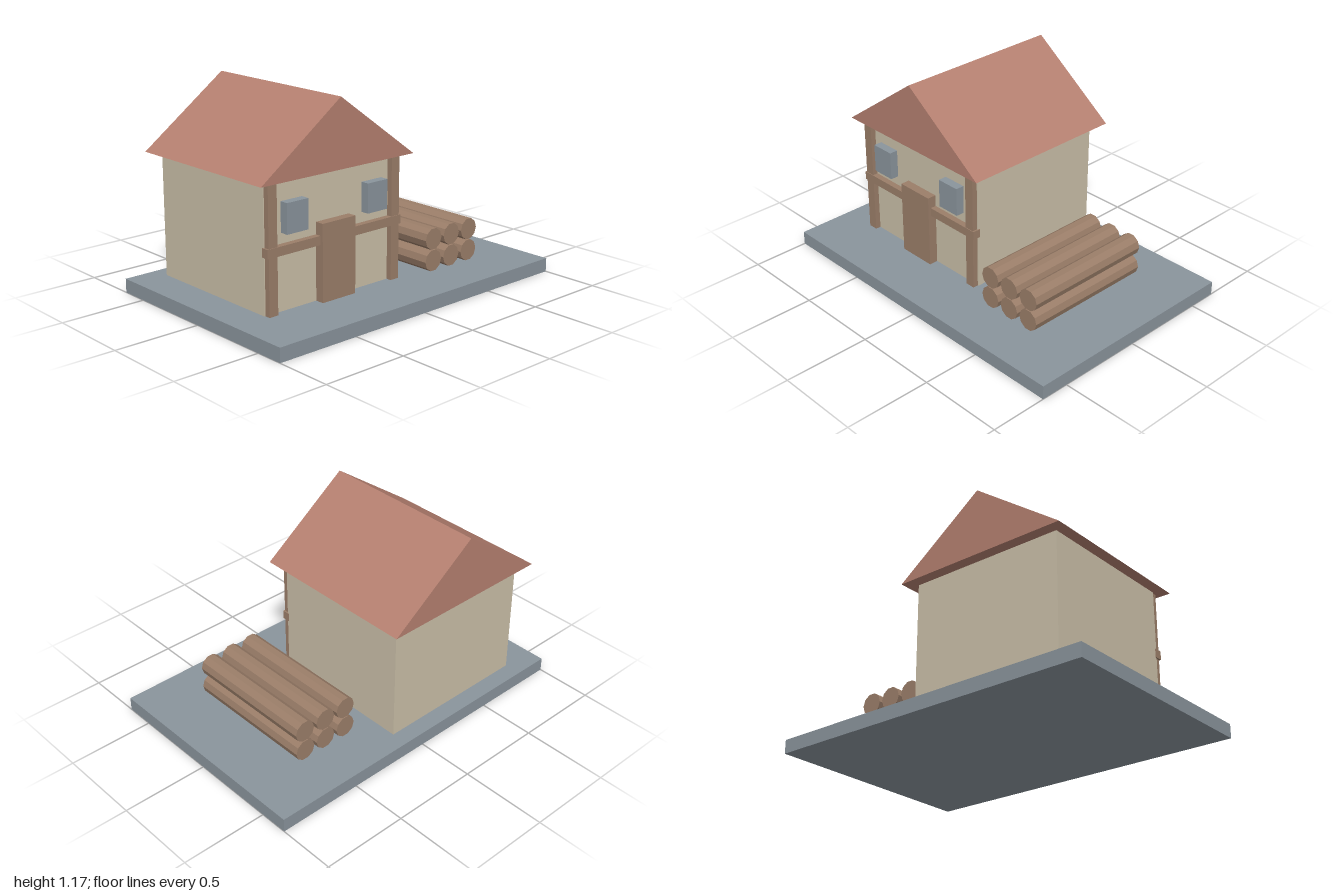
import * as THREE from 'three';

const paint = (name, color) => {
  const m = new THREE.MeshStandardMaterial({ color, flatShading: true });
  m.name = name;
  return m;
};

export function createModel() {
  const stone = paint('blue grey', 0x8a949c);
  const plaster = paint('cream plaster', 0xcabfa8);
  const wood = paint('brown wood', 0x9b7e69);
  const tile = paint('red roof', 0xb58070);

  const model = new THREE.Group();
  model.name = 'houseWithLogs';
  const add = (name, geometry, material, parent = model) => {
    const mesh = new THREE.Mesh(geometry, material);
    mesh.name = name;
    parent.add(mesh);
    return mesh;
  };
  // Box given by its limits on each axis
  const box = (name, material, parent, x0, x1, y0, y1, z0, z1) => {
    const g = new THREE.BoxGeometry(x1 - x0, y1 - y0, z1 - z0);
    g.translate((x0 + x1) / 2, (y0 + y1) / 2, (z0 + z1) / 2);
    return add(name, g, material, parent);
  };

  // Ground slab
  box('base', stone, model, -1, 1, 0, 0.08, -0.667, 0.667);

  // House, centred on its own x axis
  const house = new THREE.Group();
  house.name = 'house';
  house.position.x = -0.333;
  model.add(house);
  box('walls', plaster, house, -0.463, 0.463, 0.08, 0.786, -0.567, 0.3);

  // Solid gable roof
  const gable = new THREE.Shape();
  gable.moveTo(-0.528, 0.785);
  gable.lineTo(0.528, 0.785);
  gable.lineTo(0, 1.167);
  const roof = new THREE.ExtrudeGeometry(gable, { depth: 1, bevelEnabled: false });
  roof.translate(0, 0, -0.633);
  add('roof', roof, tile, house);

  // Timber frame and door on the front
  box('crossBeam', wood, house, -0.467, 0.467, 0.395, 0.445, 0.29, 0.336);
  box('door', wood, house, -0.115, 0.115, 0.08, 0.513, 0.29, 0.353);
  for (const s of [-1, 1]) {
    const side = s < 0 ? 'right' : 'left';
    const span = (a, b) => (s < 0 ? [-b, -a] : [a, b]);
    box(side + 'Post', wood, house, ...span(0.4, 0.457), 0.08, 0.786, 0.29, 0.332);
    box(side + 'Window', stone, house, ...span(0.208, 0.35), 0.503, 0.669, 0.29, 0.35);
  }

  // Stack of ten-sided logs
  const logs = new THREE.Group();
  logs.name = 'logStack';
  model.add(logs);
  const log = new THREE.CylinderGeometry(0.063, 0.063, 0.8, 10);
  log.rotateY(Math.PI / 2).rotateX(Math.PI / 2);
  for (const y of [0.151, 0.277]) {
    for (const x of [0.333, 0.476, 0.619]) add('log', log, wood, logs).position.set(x, y, 0);
  }

  return model;
}
